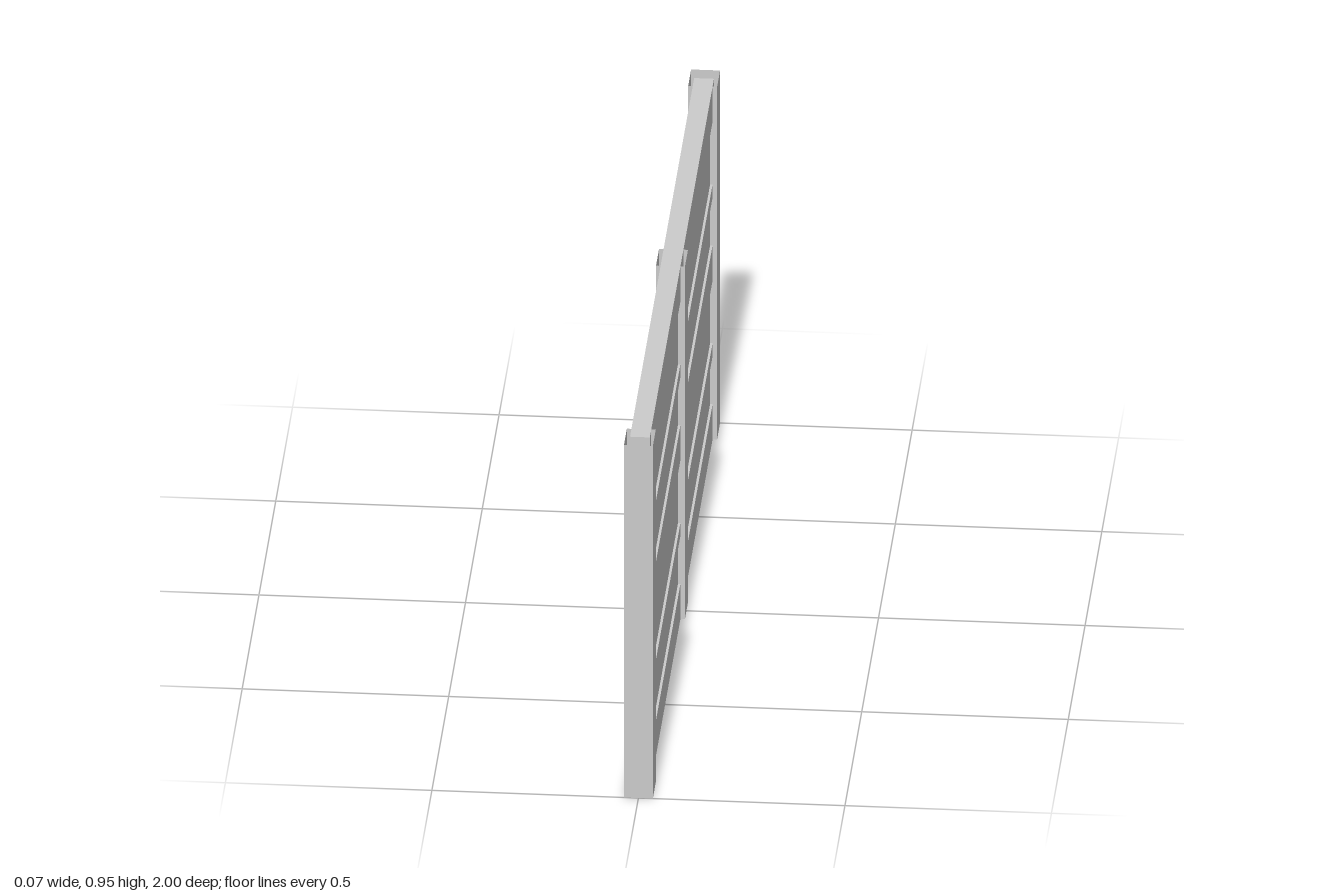
import * as THREE from 'three';

const HEIGHT = 0.955;
const POST_X = 0.035;   // half thickness of the posts
const RIB_X = 0.024;    // half thickness of the panel at its ribs
const RECESS_X = 0.018; // half thickness between the ribs
const PANEL_Z = 0.955;  // the panel ends inside the hollow end posts

const RIBS = [[0, 0.095], [0.225, 0.26], [0.43, 0.525], [0.655, 0.69], [0.86, HEIGHT]];

// Stepped cross-section, mirrored left and right, run along z
function panelGeometry() {
  const side = [];
  RIBS.forEach(([low, high], i) => {
    if (i > 0) side.push([RECESS_X, low]);
    side.push([RIB_X, low], [RIB_X, high]);
    if (i < RIBS.length - 1) side.push([RECESS_X, high]);
  });
  const mirrored = side.map(([x, y]) => [-x, y]).reverse();
  const shape = new THREE.Shape([...side, ...mirrored].map(([x, y]) => new THREE.Vector2(x, y)));
  const geometry = new THREE.ExtrudeGeometry(shape, { depth: 2 * PANEL_Z, bevelEnabled: false });
  return geometry.translate(0, 0, -PANEL_Z);
}

// Hollow post of four thin sheets, open at top and bottom
function createPost(name, zMin, zMax, material) {
  const post = new THREE.Group();
  post.name = name;
  const depth = zMax - zMin;
  const middle = (zMin + zMax) / 2;
  const addSheet = (sheetName, width, x, z, turn) => {
    const sheet = new THREE.Mesh(new THREE.PlaneGeometry(width, HEIGHT), material);
    sheet.name = sheetName;
    sheet.position.set(x, HEIGHT / 2, z);
    sheet.rotation.y = turn;
    post.add(sheet);
  };
  addSheet('leftFlange', depth, POST_X, middle, Math.PI / 2);
  addSheet('rightFlange', depth, -POST_X, middle, -Math.PI / 2);
  addSheet('frontWall', 2 * POST_X, 0, zMax, 0);
  addSheet('backWall', 2 * POST_X, 0, zMin, Math.PI);
  return post;
}

export function createModel() {
  const model = new THREE.Group();
  model.name = 'fencePanel';
  const panelMaterial = new THREE.MeshStandardMaterial({ color: 0xcccccc });
  const sheetMaterial = new THREE.MeshStandardMaterial({ color: 0xcccccc, side: THREE.DoubleSide });

  // Ribbed infill
  const panel = new THREE.Mesh(panelGeometry(), panelMaterial);
  panel.name = 'ribbedPanel';
  model.add(panel);

  // Posts
  model.add(createPost('frontPost', 0.913, 1, sheetMaterial));
  model.add(createPost('middlePost', -0.045, 0.045, sheetMaterial));
  model.add(createPost('backPost', -1, -0.913, sheetMaterial));
  return model;
}
